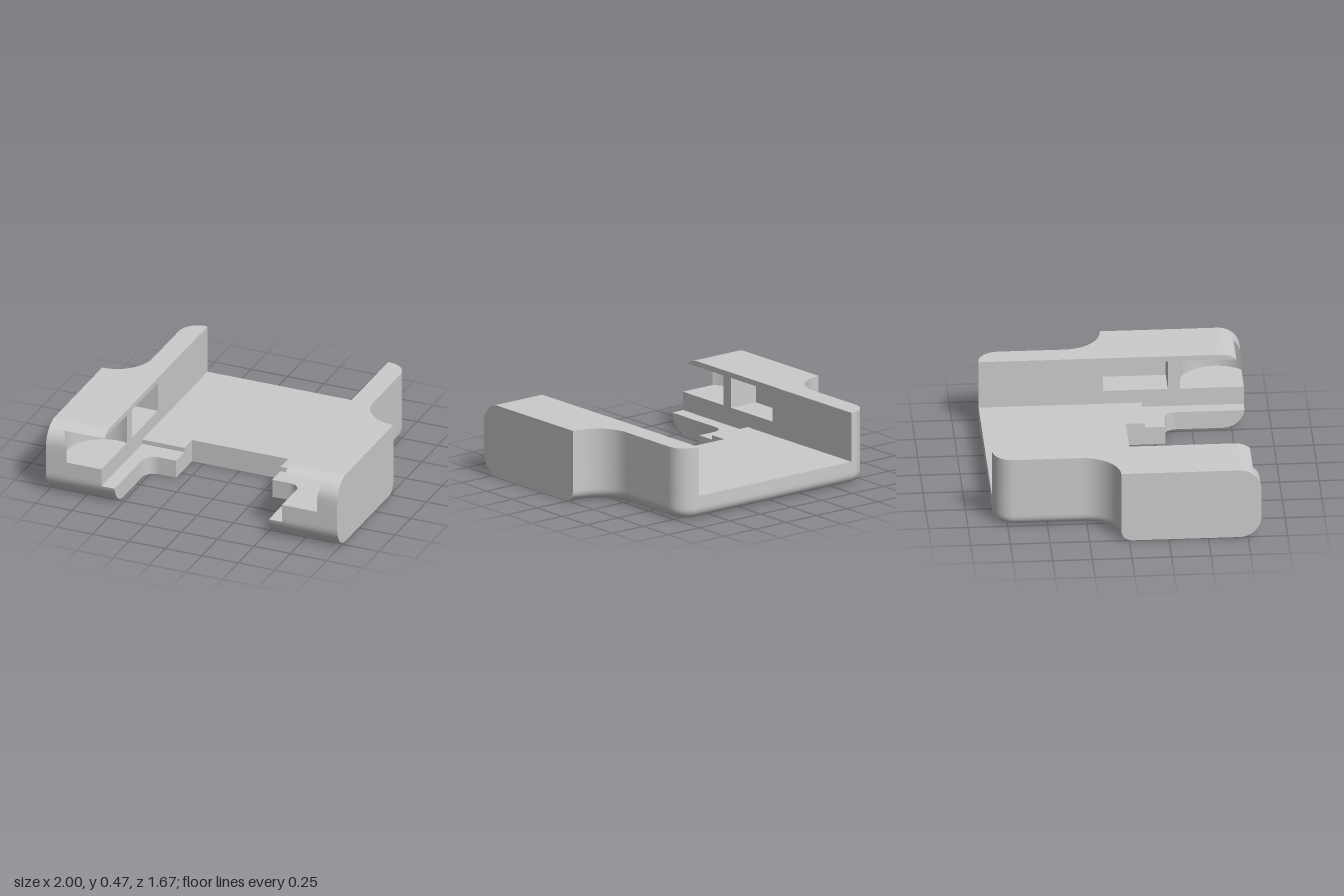
import * as THREE from 'three';
import { toCreasedNormals } from 'three/addons/utils/BufferGeometryUtils.js';

const INNER = 0.62, TOP = 0.47, BACK = -0.84, FRONT = 0.835;
const LEDGE = 0.12, DECK = 0.15, FLOOR = 0.24, CEIL = 0.435;
const ROUND = 0.14, FILLET = 0.07;

// Points [x, z] on an arc
function arc(cx, cz, r, a0, a1, n) {
  return Array.from({ length: n + 1 }, (_, i) => {
    const a = a0 + (a1 - a0) * i / n;
    return [cx + r * Math.cos(a), cz + r * Math.sin(a)];
  });
}

// Front end is rounded at top and bottom
function frontZ(y) {
  const d = Math.max(ROUND - y, y - (TOP - ROUND), 0);
  return FRONT - ROUND + Math.sqrt(Math.max(0, ROUND * ROUND - d * d));
}

// Bottom edge of the back contour is filleted
function inset(y) {
  const d = Math.max(FILLET - y, 0);
  return FILLET - Math.sqrt(Math.max(0, FILLET * FILLET - d * d));
}

// Outer contour from the back, round the side, to the front corner
function outer(y, x0) {
  const o = inset(y);
  return [
    [x0, BACK + o],
    ...arc(0.63, -0.71, 0.13 - o, -Math.PI / 2, 0, 12),
    ...arc(1, -0.29, 0.24 + o, Math.PI, Math.PI / 2, 14),
    [1, frontZ(y)],
  ];
}

// Inner edge of the leg and the stepped notch in the plate
const notch = [...arc(0.45, 0.4, 0.08, 0, -Math.PI / 2, 8), [0.33, 0.32]];

// Round pocket at the front of each arm
function pocketArc(y) {
  const cx = 0.68, cz = 0.67, r = 0.245, f = frontZ(y);
  return arc(cx, cz, r, Math.asin((f - cz) / r), -Math.PI + Math.acos((cx - INNER) / r), 24);
}
const windowPocket = [[INNER, 0.355], [0.82, 0.355], [0.82, -0.055], [INNER, -0.055]];

const closed = (pts) => [...pts, pts[0]];
const sections = {
  foot: (y) => [...outer(y, 0), [0.53, frontZ(y)], ...notch, [0.33, 0.07], [0, 0.07]],
  deck: (y) => [...outer(y, 0), [INNER, frontZ(y)], [INNER, 0.19], [0.33, 0.19], [0.33, 0.07], [0, 0.07]],
  solid: (y) => closed([...outer(y, INNER), [INNER, frontZ(y)]]),
  pockets: (y) => closed([...outer(y, INNER), ...pocketArc(y), ...windowPocket]),
};

// Collects triangles for one side (s = 1 left, -1 right)
function builder(s) {
  const pos = [];
  const tri = (a, b, c) => {
    for (const p of s > 0 ? [a, b, c] : [a, c, b]) pos.push(s * p[0], p[1], p[2]);
  };
  return {
    wall(section, levels) {
      for (let k = 0; k + 1 < levels.length; k++) {
        const [y0, y1] = [levels[k], levels[k + 1]];
        const lo = section(y0).map(([x, z]) => [x, y0, z]);
        const hi = section(y1).map(([x, z]) => [x, y1, z]);
        for (let i = 0; i + 1 < lo.length; i++) {
          tri(lo[i], hi[i], hi[i + 1]);
          tri(lo[i], hi[i + 1], lo[i + 1]);
        }
      }
    },
    cap(pts, y, up) {
      const v = pts.map(([x, z]) => new THREE.Vector2(x, z));
      for (const [i, j, k] of THREE.ShapeUtils.triangulateShape(v, [])) {
        const cross = v[j].clone().sub(v[i]).cross(v[k].clone().sub(v[i]));
        const [a, b, c] = [i, j, k].map((n) => [v[n].x, y, v[n].y]);
        if ((cross < 0) === up) tri(a, b, c); else tri(a, c, b);
      }
    },
    mesh(name) {
      const g = new THREE.BufferGeometry();
      g.setAttribute('position', new THREE.Float32BufferAttribute(pos, 3));
      const m = new THREE.Mesh(toCreasedNormals(g, 0.5),
        new THREE.MeshStandardMaterial({ color: 0xcccccc }));
      m.name = name;
      return m;
    },
  };
}

// Heights from y0 to y1, eased towards the rounded end
function levels(y0, y1, n, ease) {
  return Array.from({ length: n + 1 }, (_, i) => y0 + (y1 - y0) * ease(i / n));
}

export function createModel() {
  const group = new THREE.Group();
  for (const s of [1, -1]) {
    const side = s > 0 ? 'left' : 'right';

    // Base plate half with its leg, ledge and deck
    const base = builder(s);
    base.wall(sections.foot, levels(0, LEDGE, 12, (t) => t * t));
    base.wall(sections.deck, [LEDGE, 0.14, DECK]);
    base.cap(sections.foot(0), 0, false);
    base.cap([[0.33, 0.19], [INNER, 0.19], [INNER, frontZ(LEDGE)], [0.53, frontZ(LEDGE)], ...notch], LEDGE, true);
    base.cap([[0, BACK], [INNER, BACK], [INNER, 0.19], [0.33, 0.19], [0.33, 0.07], [0, 0.07]], DECK, true);
    group.add(base.mesh(side + 'Base'));

    // Side arm with round front pocket and window pocket
    const arm = builder(s);
    arm.wall(sections.solid, [DECK, FLOOR]);
    arm.wall(sections.pockets, [FLOOR, TOP - ROUND, 0.36, 0.385, 0.41, CEIL]);
    arm.wall(sections.solid, levels(CEIL, TOP, 6, (t) => 1 - (1 - t) ** 2));
    arm.cap(sections.solid(TOP).slice(0, -1), TOP, true);
    for (const [y, up] of [[FLOOR, true], [CEIL, false]]) {
      arm.cap([...pocketArc(y), [INNER, frontZ(y)]], y, up);
      arm.cap(windowPocket, y, up);
    }
    group.add(arm.mesh(side + 'Arm'));
  }
  return group;
}
